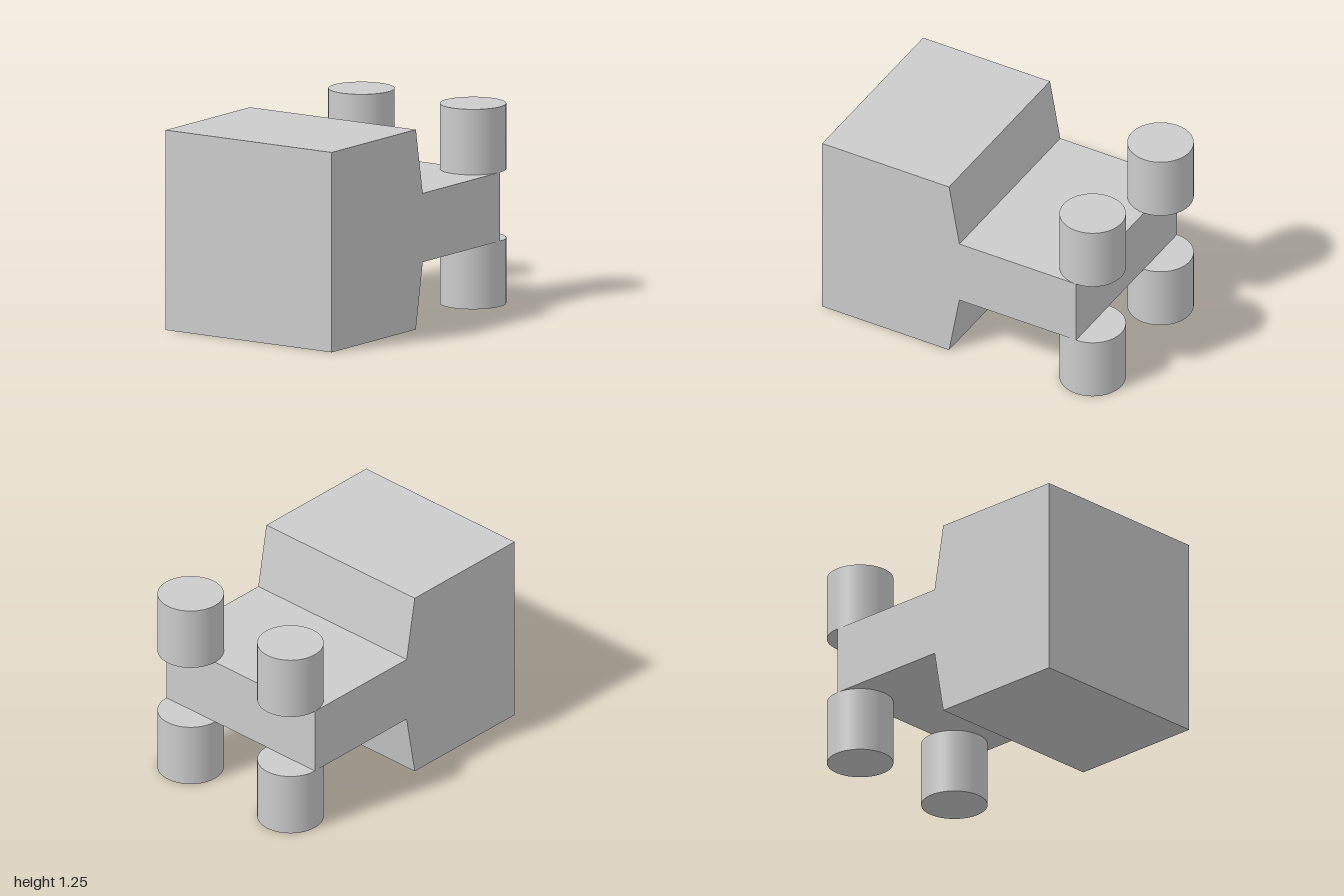
import * as THREE from 'three';

export function createModel() {
  const model = new THREE.Group();
  const material = new THREE.MeshStandardMaterial({ color: 0xcccccc });

  const width = 1.246, height = 1.25;
  const deckBottom = 0.41, deckTop = 0.84, deckBack = -0.795;

  // Body: side profile (z, y) with a full-height front block and a thin rear deck
  const profile = new THREE.Shape([
    [1, 0], [1, height], [0.103, height], [0.03, deckTop],
    [deckBack, deckTop], [deckBack, deckBottom], [0.03, deckBottom], [0.103, 0],
  ].map(([z, y]) => new THREE.Vector2(z, y)));
  const bodyGeometry = new THREE.ExtrudeGeometry(profile, { depth: width, bevelEnabled: false });
  bodyGeometry.rotateY(-Math.PI / 2).translate(width / 2, 0, 0);
  const body = new THREE.Mesh(bodyGeometry, material);
  body.name = 'body';
  model.add(body);

  // Round posts above and below both rear corners of the deck
  const radius = 0.204, postHeight = height - deckTop;
  const postGeometry = new THREE.CylinderGeometry(radius, radius, postHeight, 64);
  for (const [side, sideName] of [[1, 'left'], [-1, 'right']]) {
    for (const [y, level] of [[height - postHeight / 2, 'Upper'], [postHeight / 2, 'Lower']]) {
      const post = new THREE.Mesh(postGeometry, material);
      post.name = `${sideName}${level}Post`;
      post.position.set(side * (width / 2 - radius), y, -1 + radius);
      model.add(post);
    }
  }
  return model;
}
